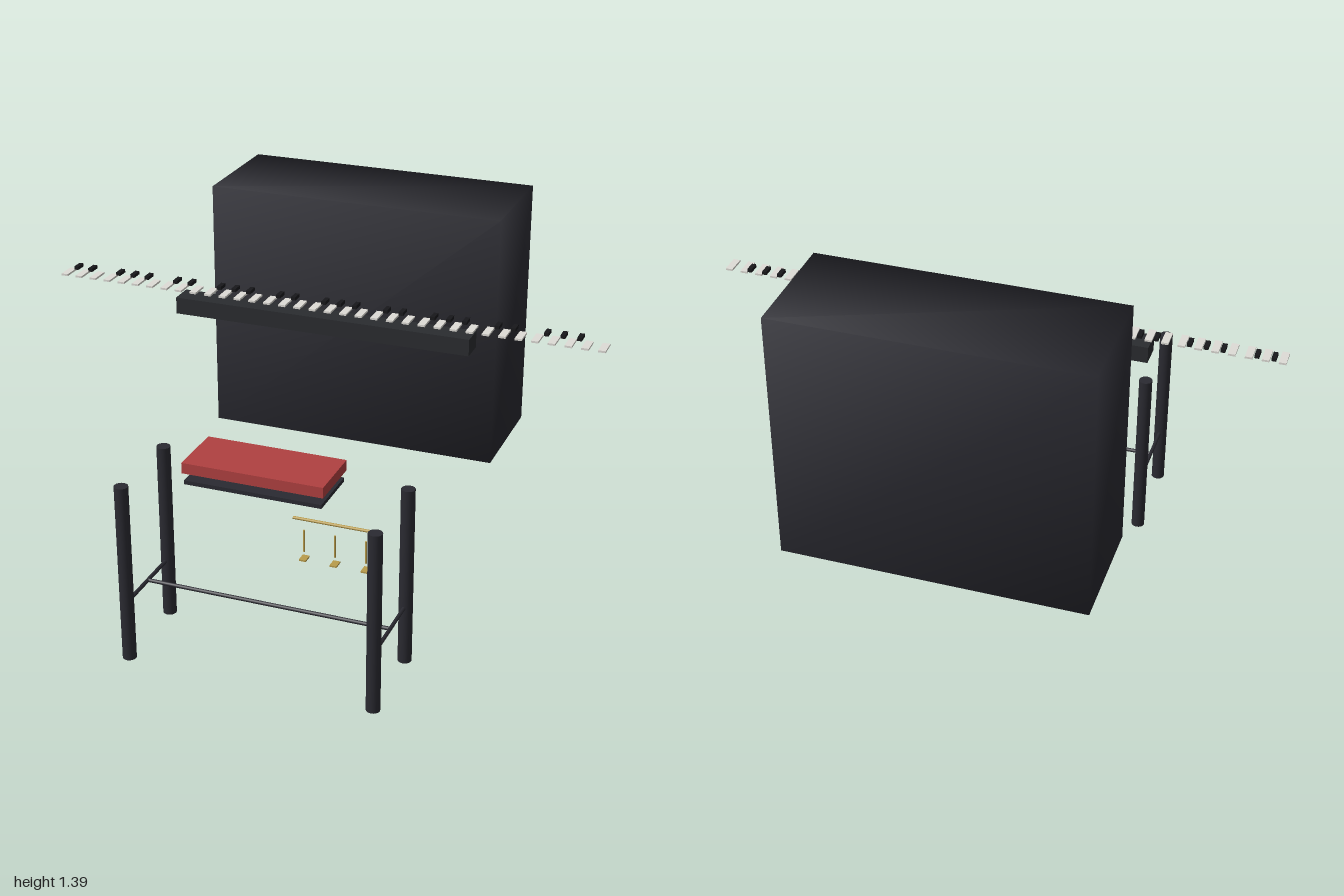
import * as THREE from 'three';
import { mergeVertices } from 'three/addons/utils/BufferGeometryUtils.js';

const paint = (color) => new THREE.MeshStandardMaterial({ color });
const black = paint(0x2a2a31);
const bedBlack = paint(0x2a2c2f);
const ebony = paint(0x18181b);
const ivory = paint(0xdedcd6);
const red = paint(0xb04040);
const brass = paint(0xb89b4a);

// Shares the corner normals so the faces shade softly into each other
function soften(geometry) {
  geometry.deleteAttribute('uv');
  geometry.deleteAttribute('normal');
  const merged = mergeVertices(geometry);
  merged.computeVertexNormals();
  return merged;
}

function add(parent, name, geometry, material, x, y, z) {
  const mesh = new THREE.Mesh(geometry, material);
  mesh.name = name;
  mesh.position.set(x, y, z);
  parent.add(mesh);
  return mesh;
}

function group(parent, name) {
  const g = new THREE.Group();
  g.name = name;
  parent.add(g);
  return g;
}

export function createModel() {
  const model = new THREE.Group();
  model.name = 'explodedPiano';

  // Cabinet and key bed
  add(model, 'cabinet', soften(new THREE.BoxGeometry(1.08, 0.925, 0.424)), black, 0, 0.9275, -0.508);
  add(model, 'keyBed', new THREE.BoxGeometry(1.08, 0.06, 0.085), bedBlack, 0, 1.05, -0.006);

  // Five octaves of keys plus a closing one
  const keyboard = group(model, 'keyboard');
  const count = 36;
  const pitch = 1.975 / (count - 1);
  const whiteKey = new THREE.BoxGeometry(0.025, 0.007, 0.068);
  const blackKey = new THREE.BoxGeometry(0.016, 0.012, 0.04);
  for (let i = 0; i < count; i++) {
    const x = -0.9875 + i * pitch;
    add(keyboard, 'whiteKey', whiteKey, ivory, x, 1.102, -0.006);
    if (i < count - 1 && [0, 1, 3, 4, 5].includes(i % 7)) {
      add(keyboard, 'blackKey', blackKey, ebony, x + pitch / 2, 1.118, -0.03);
    }
  }

  // Bench: cushion, seat board, legs and stretchers
  const bench = group(model, 'bench');
  add(bench, 'cushion', new THREE.BoxGeometry(0.498, 0.038, 0.215), red, 0, 0.741, 0.532);
  add(bench, 'seatBoard', new THREE.BoxGeometry(0.485, 0.014, 0.209), black, 0, 0.689, 0.533);
  const leg = new THREE.CylinderGeometry(0.0245, 0.0245, 0.664, 16);
  const sideRod = new THREE.CylinderGeometry(0.007, 0.007, 0.324, 8).rotateX(Math.PI / 2);
  for (const side of [-1, 1]) {
    const x = side * 0.447;
    for (const z of [0.37, 0.694]) add(bench, 'leg', leg, black, x, 0.332, z);
    add(bench, 'sideStretcher', sideRod, black, x, 0.218, 0.532);
  }
  const longRod = new THREE.CylinderGeometry(0.007, 0.007, 0.894, 8).rotateZ(Math.PI / 2);
  add(bench, 'longStretcher', longRod, black, 0, 0.218, 0.532);

  // Pedal bar with three rods and pedals
  const pedals = group(model, 'pedals');
  const bar = new THREE.CylinderGeometry(0.006, 0.006, 0.336, 10).rotateZ(Math.PI / 2);
  add(pedals, 'pedalBar', bar, brass, 0, 0.187, -0.131);
  const rod = new THREE.CylinderGeometry(0.004, 0.004, 0.092, 8);
  const pedal = new THREE.BoxGeometry(0.028, 0.006, 0.042);
  for (const x of [-0.124, 0, 0.124]) {
    add(pedals, 'pedalRod', rod, brass, x, 0.095, -0.131);
    add(pedals, 'pedal', pedal, brass, x, 0.02, -0.131);
  }
  return model;
}
